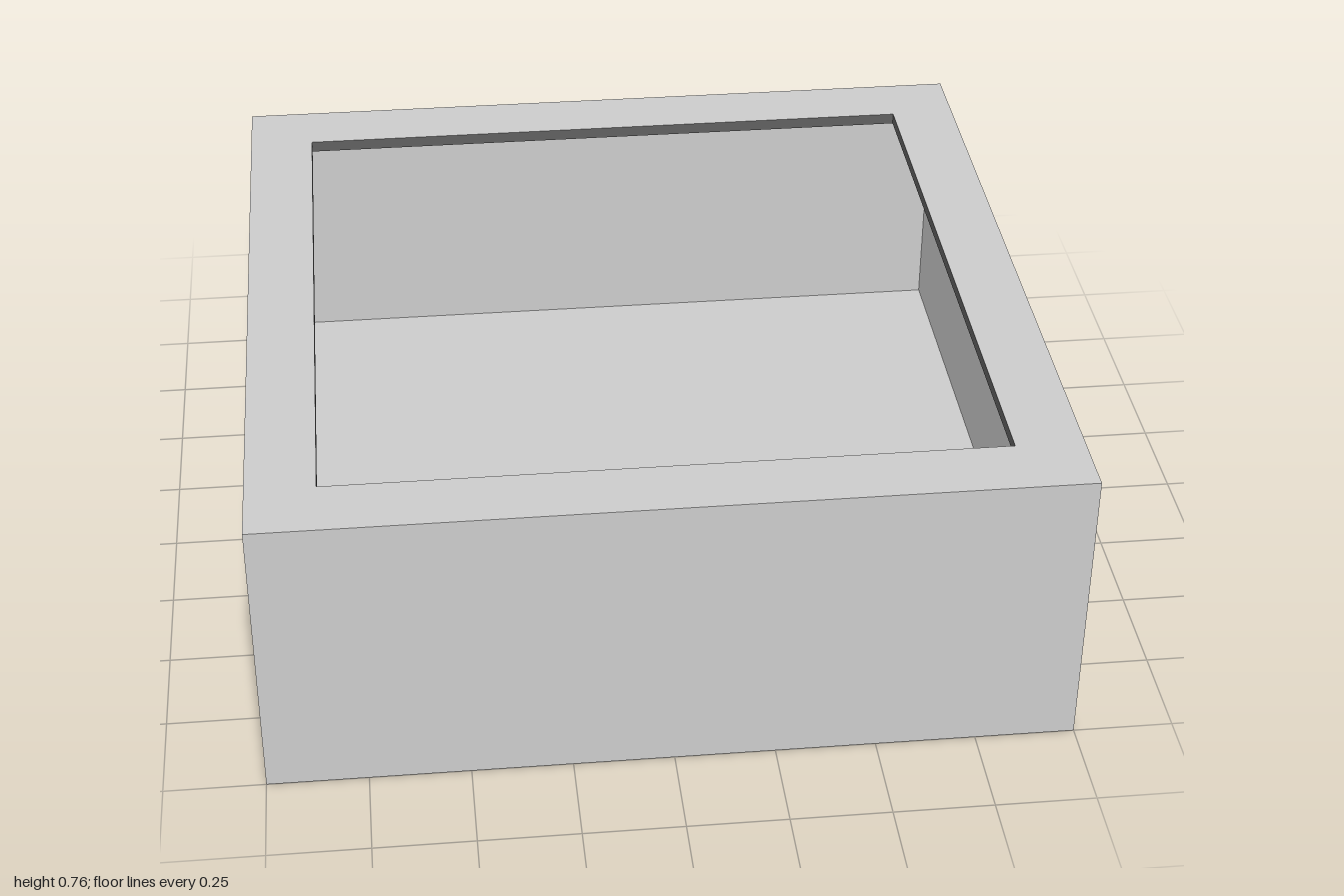
import * as THREE from 'three';

// Sweeps a [half-width, height] profile around a square; outward side follows an upward profile.
function squareSweep(name, profile, color) {
  const points = profile.map(([half, y]) => new THREE.Vector2(half * Math.SQRT2, y));
  const geometry = new THREE.LatheGeometry(points, 4, Math.PI / 4).toNonIndexed();
  geometry.computeVertexNormals();
  const mesh = new THREE.Mesh(geometry, new THREE.MeshStandardMaterial({ color, flatShading: true }));
  mesh.name = name;
  return mesh;
}

export function createModel() {
  const height = 0.76, rimBottom = 0.73, floor = 0.07;
  const outer = 1, inner = 0.97, opening = 0.83;
  const group = new THREE.Group();
  group.name = 'squareTray';

  // Underside, outer walls and the flat top rim
  group.add(squareSweep('outerShell', [[0, 0], [outer, 0], [outer, height], [opening, height]], 0xcccccc));

  // Dark edge around the opening
  group.add(squareSweep('openingEdge', [[opening, height], [opening, rimBottom]], 0x606060));

  // Underside of the rim, inner walls and the floor
  group.add(squareSweep('innerShell', [[opening, rimBottom], [inner, rimBottom], [inner, floor], [0, floor]], 0xcccccc));

  return group;
}
